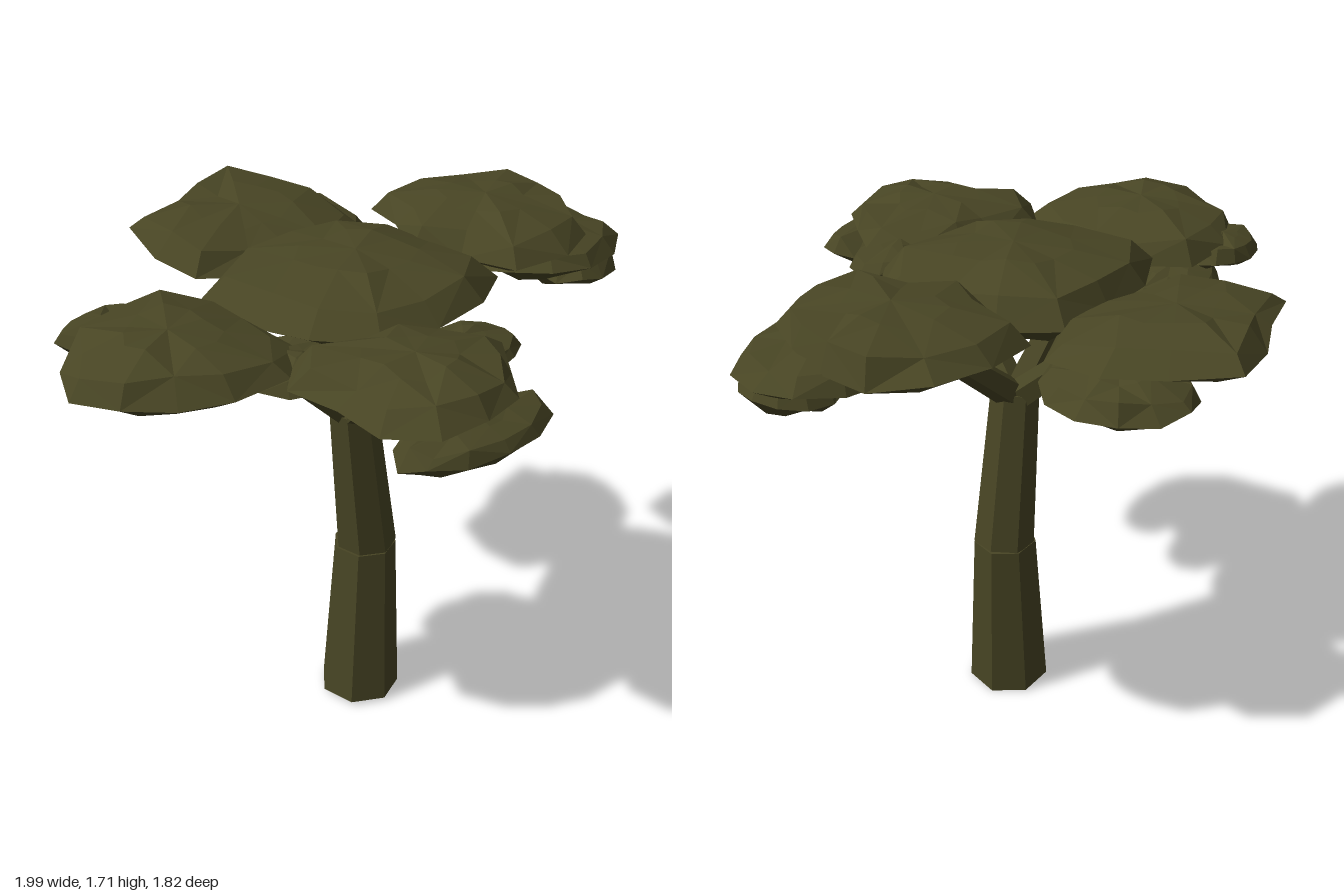
import * as THREE from 'three';

const olive = new THREE.MeshStandardMaterial({ color: 0x484524, flatShading: true });
olive.name = 'olive';

// Repeatable jitter in -1..1
let seed = 7;
function jitter() {
  seed = (seed * 16807) % 2147483647;
  return (seed / 2147483647) * 2 - 1;
}

// Tapered faceted limb between two points
function limb(name, from, to, r0, r1, sides) {
  const a = new THREE.Vector3(...from), b = new THREE.Vector3(...to);
  const dir = b.clone().sub(a);
  const mesh = new THREE.Mesh(new THREE.CylinderGeometry(r1, r0, dir.length(), sides), olive);
  mesh.position.copy(a).add(b).multiplyScalar(0.5);
  mesh.quaternion.setFromUnitVectors(new THREE.Vector3(0, 1, 0), dir.normalize());
  mesh.name = name;
  return mesh;
}

// Flattened leaf clump: jittered rings over a plan given as radii every 30 degrees from +x to +z
const round = Array(12).fill(1);
function clump(name, [cx, cz], [low, high], [sx, sz], plan = round, tilt = 0) {
  const n = plan.length, mid = low + (high - low) * 0.42;
  const rings = [[0.66, low + 0.01], [1, mid], [0.82, mid + (high - mid) * 0.6], [0.42, high - 0.01]];
  const pos = [], index = [];
  const add = (x, y, z) => pos.push(cx + x, y + tilt * z, cz + z);
  const outline = plan.map((r, i) => {
    const t = (i / n) * Math.PI * 2, s = r * (1 + 0.03 * jitter());
    return [Math.cos(t) * sx * s, Math.sin(t) * sz * s];
  });
  for (const [scale, y] of rings) {
    for (const [x, z] of outline) {
      const s = scale === 1 ? 1 : scale * (1 + 0.08 * jitter());
      add(x * s, y + 0.014 * jitter(), z * s);
    }
  }
  const bottom = n * rings.length, top = bottom + 1, last = n * (rings.length - 1);
  add(0, low, 0);
  add(0, high, 0);
  for (let i = 0; i < n; i++) {
    const j = (i + 1) % n;
    for (let a = 0; a < last; a += n) {
      const b = a + n;
      if ((i + a / n) % 2) index.push(a + j, a + i, b + i, a + j, b + i, b + j);
      else index.push(a + j, a + i, b + j, a + i, b + i, b + j);
    }
    index.push(bottom, i, j, top, last + j, last + i);
  }
  const geo = new THREE.BufferGeometry();
  geo.setAttribute('position', new THREE.Float32BufferAttribute(pos, 3));
  geo.setIndex(index);
  const flat = geo.toNonIndexed();
  flat.computeVertexNormals();
  const mesh = new THREE.Mesh(flat, olive);
  mesh.name = name;
  return mesh;
}

export function createModel() {
  seed = 7;
  const tree = new THREE.Group();
  tree.name = 'tree';

  // Two-piece leaning trunk
  tree.add(limb('lowerTrunk', [-.007, .008, .065], [.025, .605, .052], .14, .107, 7));
  tree.add(limb('upperTrunk', [.032, .6, .051], [-.03, 1.16, .05], .104, .081, 7));

  // Branches fanning out under the canopy
  const branches = new THREE.Group();
  branches.name = 'branches';
  branches.add(
    limb('rightBranch', [-.05, 1.15, .05], [-.44, 1.52, .05], .053, .037, 5),
    limb('leftBranch', [-.01, 1.15, .05], [.46, 1.54, .04], .053, .037, 5),
    limb('frontBranch', [-.04, 1.15, .08], [-.19, 1.52, .48], .053, .037, 5),
    limb('backBranch', [-.03, 1.15, .02], [0, 1.53, -.4], .053, .037, 5),
  );
  tree.add(branches);

  // Flat-topped foliage: plan centre, height range, plan scale, plan radii
  const foliage = new THREE.Group();
  foliage.name = 'foliage';
  const full = [1, 1];
  foliage.add(
    clump('centreCanopy', [0, .03], [1.47, 1.685], full,
      [.36, .44, .41, .38, .4, .4, .4, .47, .4, .36, .4, .37]),
    clump('leftCanopy', [.58, 0], [1.53, 1.705], full,
      [.28, .28, .33, .36, .38, .28, .33, .3, .4, .37, .36, .34]),
    clump('leftOuterClump', [.69, .14], [1.49, 1.62], [.3, .24]),
    clump('leftLowerClump', [.79, .19], [1.42, 1.54], [.16, .16]),
    clump('backCanopy', [0, -.56], [1.5, 1.645], full,
      [.38, .42, .34, .28, .32, .36, .34, .37, .28, .31, .41, .34], -.1),
    clump('backLowerClump', [.28, -.56], [1.43, 1.56], [.2, .24]),
    clump('rightCanopy', [-.68, .02], [1.46, 1.635], full,
      [.3, .36, .37, .32, .28, .3, .32, .31, .31, .34, .38, .35]),
    clump('rightLowerClump', [-.54, -.2], [1.37, 1.49], [.19, .16]),
    clump('rightBackClump', [-.71, -.29], [1.47, 1.57], [.15, .11]),
    clump('rightInnerClump', [-.43, .2], [1.46, 1.56], [.16, .17]),
    clump('frontCanopy', [-.25, .57], [1.48, 1.64], full,
      [.33, .27, .29, .28, .33, .3, .27, .36, .36, .27, .27, .3]),
    clump('frontSideClump', [0, .5], [1.46, 1.58], [.2, .13]),
    clump('frontLowerClump', [-.22, .77], [1.41, 1.53], [.27, .14]),
  );
  tree.add(foliage);

  return tree;
}
